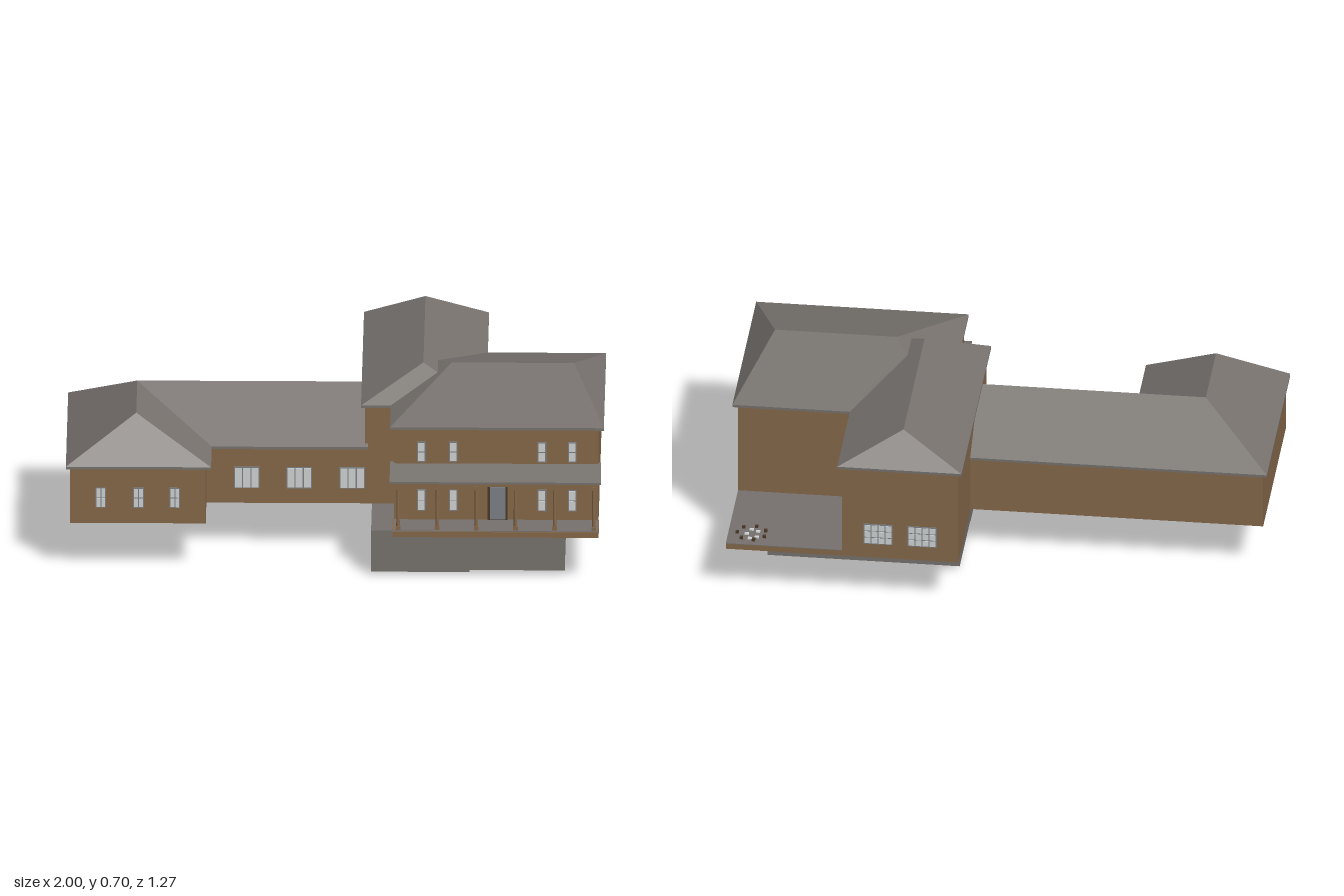
import * as THREE from 'three';

const mat = (name, color, extra = {}) => {
  const m = new THREE.MeshStandardMaterial({ color, ...extra });
  m.name = name;
  return m;
};

export function createModel() {
  const model = new THREE.Group();
  model.name = 'house';
  const brown = mat('brown wall', 0x86694a);
  const grey = mat('grey roof and concrete', 0x77726e);
  const frameGrey = mat('window frame', 0x7c8288);
  const glass = mat('pale glass', 0xd2d5d5);
  const dark = mat('dark wood', 0x4a3826);

  // Box given by its low and high limits on each axis
  function block(name, material, x0, x1, y0, y1, z0, z1, parent = model) {
    const m = new THREE.Mesh(new THREE.BoxGeometry(x1 - x0, y1 - y0, z1 - z0), material);
    m.position.set((x0 + x1) / 2, (y0 + y1) / 2, (z0 + z1) / 2);
    m.name = name;
    parent.add(m);
    return m;
  }

  // Roof: eave outline and ridge points as [x, z], faces as point indices;
  // a skirt and a soffit close it below
  function roof(name, eave, ridge, faces, yEave, yRidge, thick = 0.01) {
    const n = eave.length;
    const pts = [
      ...eave.map(([x, z]) => [x, yEave, z]),
      ...ridge.map(([x, z]) => [x, yRidge, z]),
      ...eave.map(([x, z]) => [x, yEave - thick, z]),
    ];
    const low = n + ridge.length;
    const all = [...faces, eave.map((_, i) => low + ((n - i) % n))];
    for (let i = 0; i < n; i++) {
      const j = (i + 1) % n;
      all.push([i, low + i, low + j, j]);
    }
    const pos = [];
    for (const f of all)
      for (let k = 1; k < f.length - 1; k++)
        pos.push(...pts[f[0]], ...pts[f[k]], ...pts[f[k + 1]]);
    const g = new THREE.BufferGeometry();
    g.setAttribute('position', new THREE.Float32BufferAttribute(pos, 3));
    g.computeVertexNormals();
    const m = new THREE.Mesh(g, grey);
    m.name = name;
    model.add(m);
  }

  // Window facing +z before turning: thin frame plate with a grid of panes
  function windowAt(name, x, y, z, w, h, cols, rows, turn = 0) {
    const g = new THREE.Group();
    g.name = name;
    block('windowFrame', frameGrey, -w / 2, w / 2, -h / 2, h / 2, -0.002, 0.003, g);
    const bar = 0.004, pw = (w - bar) / cols, ph = (h - bar) / rows;
    for (let i = 0; i < cols; i++)
      for (let j = 0; j < rows; j++) {
        const px = -w / 2 + bar + i * pw, py = -h / 2 + bar + j * ph;
        block('pane', glass, px, px + pw - bar, py, py + ph - bar, 0, 0.005, g);
      }
    g.position.set(x, y, z);
    g.rotation.y = turn;
    model.add(g);
  }

  // Walls
  block('wingWalls', brown, -0.985, 0.15, 0.19, 0.415, -0.22, 0.29);
  block('wingFrontWalls', brown, -0.985, -0.48, 0.19, 0.415, 0, 0.5);
  block('backBlockWalls', brown, 0.11, 0.545, 0.19, 0.58, -0.615, 0.29);
  block('frontBlockWalls', brown, 0.22, 0.98, 0.19, 0.58, -0.225, 0.51);

  // Roofs
  roof('wingRoof',
    [[-0.46, 0.305], [0.12, 0.305], [0.12, -0.235], [-1, -0.235], [-1, 0.515], [-0.46, 0.515]],
    [[-0.74, 0.04], [0.12, 0.04], [-0.74, 0.365]],
    [[3, 6, 7, 2], [3, 4, 8, 6], [4, 5, 8], [5, 0, 6, 8], [0, 1, 7, 6], [1, 2, 7]],
    0.42, 0.578);
  roof('backBlockRoof',
    [[0.095, 0.305], [0.56, 0.305], [0.56, -0.64], [0.095, -0.64]],
    [[0.325, 0.145], [0.325, -0.525]],
    [[0, 1, 4], [1, 2, 5, 4], [2, 3, 5], [3, 0, 4, 5]],
    0.587, 0.697);
  roof('frontBlockRoof',
    [[0.205, 0.525], [1, 0.525], [1, -0.235], [0.205, -0.235]],
    [[0.43, 0.145], [0.885, 0.145]],
    [[0, 1, 5, 4], [1, 2, 5], [2, 3, 4, 5], [3, 0, 4]],
    0.587, 0.697);

  // Porch: floor, beam, posts and sloping roof
  block('porchFloor', brown, 0.215, 0.982, 0.19, 0.211, 0.5, 0.63);
  block('porchPaving', grey, 0.22, 0.977, 0.21, 0.214, 0.5, 0.625);
  block('porchBeam', brown, 0.22, 0.978, 0.387, 0.404, 0.6, 0.618);
  for (const x of [0.22, 0.964])
    block('porchSideBeam', brown, x, x + 0.014, 0.387, 0.404, 0.5, 0.61);
  for (let i = 0; i < 6; i++) {
    const x = 0.236 + i * 0.1455;
    const post = new THREE.Mesh(new THREE.CylinderGeometry(0.006, 0.007, 0.174, 10), brown);
    post.position.set(x, 0.3, 0.61);
    post.name = 'porchPost';
    model.add(post);
    block('postBase', brown, x - 0.009, x + 0.009, 0.211, 0.228, 0.601, 0.619);
    block('postCap', brown, x - 0.009, x + 0.009, 0.374, 0.388, 0.601, 0.619);
  }
  const slope = new THREE.Shape([[0.5, 0.405], [0.63, 0.402], [0.63, 0.41], [0.5, 0.44]]
    .map(([z, y]) => new THREE.Vector2(-z, y)));
  const porchRoof = new THREE.Mesh(
    new THREE.ExtrudeGeometry(slope, { depth: 0.785, bevelEnabled: false }), grey);
  porchRoof.rotation.y = Math.PI / 2;
  porchRoof.position.x = 0.205;
  porchRoof.name = 'porchRoof';
  model.add(porchRoof);

  // Front windows and door
  for (const x of [0.322, 0.44, 0.77, 0.882]) {
    windowAt('lowerWindow', x, 0.292, 0.51, 0.032, 0.085, 1, 2);
    windowAt('upperWindow', x, 0.485, 0.51, 0.032, 0.08, 1, 2);
  }
  for (const x of [-0.87, -0.73, -0.595])
    windowAt('wingSmallWindow', x, 0.292, 0.5, 0.04, 0.08, 2, 2);
  for (const x of [-0.33, -0.135, 0.062])
    windowAt('wingWideWindow', x, 0.292, 0.29, 0.095, 0.085, 3, 1);
  block('frontDoor', dark, 0.568, 0.642, 0.213, 0.352, 0.508, 0.513);
  block('frontDoorPanel', frameGrey, 0.576, 0.634, 0.216, 0.345, 0.508, 0.515);

  // Back and patio-side windows
  for (const x of [0.41, 0.245])
    windowAt('backWindow', x, 0.292, -0.615, 0.11, 0.085, 4, 3, Math.PI);
  for (const z of [-0.395, -0.525])
    windowAt('patioWindow', 0.545, 0.292, z, 0.1, 0.085, 4, 3, Math.PI / 2);

  // Patio door surround against the wall
  block('hearthSurround', dark, 0.54, 0.551, 0.213, 0.333, -0.3, -0.245);
  block('hearthPanel', frameGrey, 0.54, 0.555, 0.275, 0.315, -0.298, -0.247);
  block('hearthOpening', brown, 0.54, 0.554, 0.216, 0.262, -0.285, -0.262);

  // Patio with a small table and seats
  block('patioSlab', brown, 0.54, 0.98, 0.19, 0.211, -0.615, -0.22);
  block('patioPaving', grey, 0.54, 0.98, 0.21, 0.214, -0.615, -0.22);
  for (let i = 0; i < 5; i++) {
    const a = i * Math.PI * 0.4, x = 0.888 + 0.022 * Math.cos(a), z = -0.54 + 0.034 * Math.sin(a);
    block('patioCushion', glass, x - 0.008, x + 0.008, 0.212, 0.219, z - 0.006, z + 0.006);
  }
  for (let i = 0; i < 7; i++) {
    const a = i * Math.PI * 2 / 7, x = 0.892 + 0.055 * Math.cos(a), z = -0.535 + 0.05 * Math.sin(a);
    block('patioSeat', dark, x - 0.006, x + 0.006, 0.212, 0.223, z - 0.006, z + 0.006);
  }

  // Basement below, joined by the stair well
  block('basement', grey, 0.135, 0.855, 0.02, 0.177, -0.355, 0.53);
  block('basementFloor', grey, 0.135, 0.5, 0.012, 0.021, -0.01, 0.53);
  block('stairWell', grey, 0.235, 0.48, 0.17, 0.195, -0.01, 0.08);
  block('stairFoot', grey, 0.29, 0.475, 0, 0.02, -0.01, 0.08);

  return model;
}
